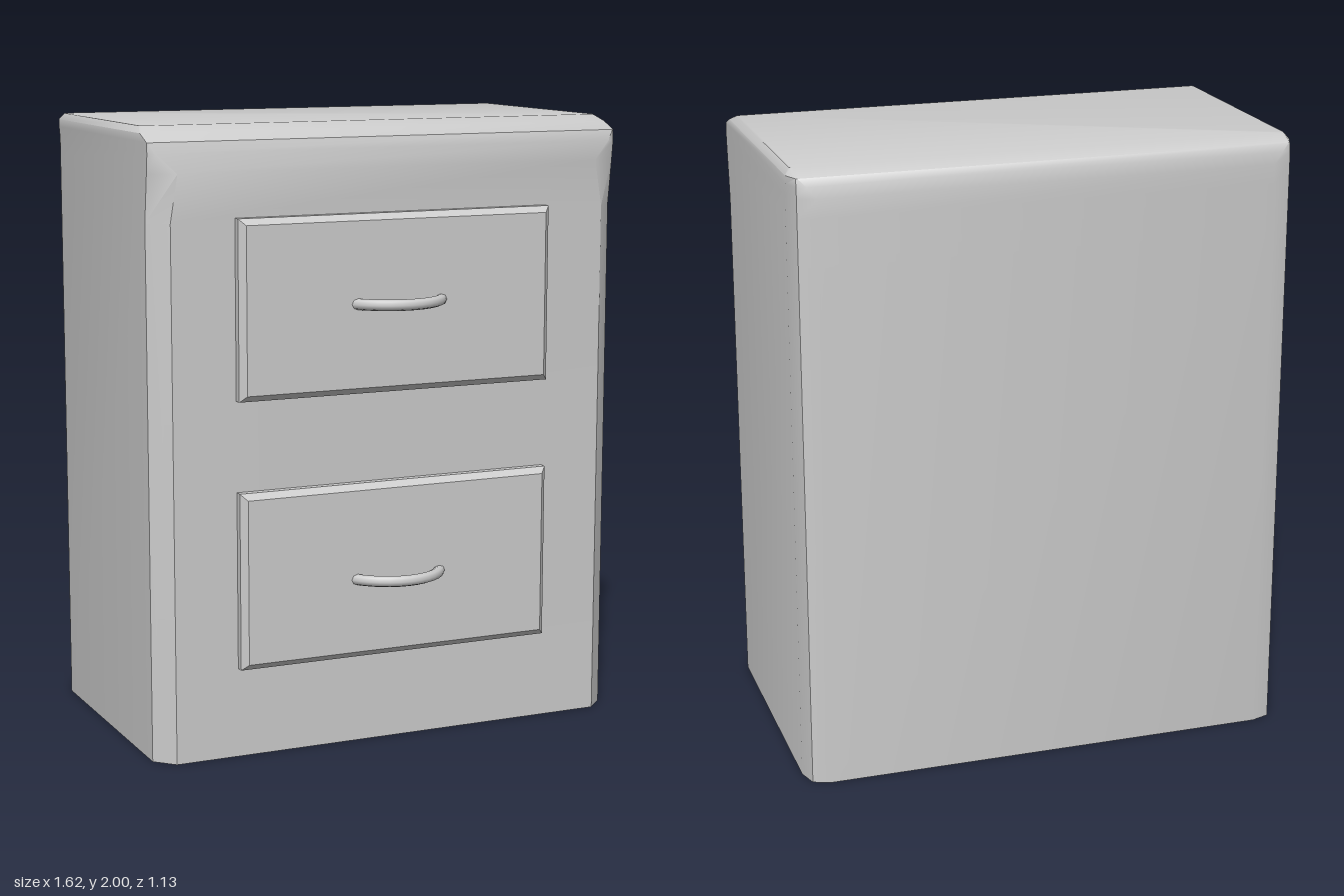
import * as THREE from 'three';
import { toCreasedNormals } from 'three/addons/utils/BufferGeometryUtils.js';

const material = new THREE.MeshStandardMaterial({ color: 0xcccccc });

// Cabinet body: horizontal rings, each given by the five [x, z] points of its +x half, front to back
function bodyGeometry() {
  const levels = [
    [0, [[0.75, 0.42], [0.81, 0.36], [0.81, -0.48], [0.79, -0.545], [0.73, -0.565]]],
    [1.71, [[0.75, 0.42], [0.81, 0.36], [0.81, -0.48], [0.79, -0.545], [0.73, -0.565]]],
    [1.86, [[0.725, 0.42], [0.81, 0.38], [0.81, -0.48], [0.79, -0.545], [0.73, -0.565]]],
    [1.92, [[0.785, 0.4], [0.81, 0.387], [0.81, -0.48], [0.79, -0.545], [0.73, -0.565]]],
    [1.955, [[0.805, 0.39], [0.81, 0.385], [0.81, -0.49], [0.79, -0.545], [0.76, -0.555]]],
    [1.98, [[0.805, 0.33], [0.81, 0.325], [0.81, -0.49], [0.79, -0.54], [0.785, -0.542]]],
    [2, [[0.79, 0.28], [0.795, 0.275], [0.795, -0.475], [0.79, -0.485], [0.785, -0.487]]],
  ];
  const rings = levels.map(([y, half]) => [
    ...half.map(([x, z]) => [x, y, z]),
    ...[...half].reverse().map(([x, z]) => [-x, y, z]),
  ]);
  const n = rings[0].length;
  const positions = [];
  const tri = (a, b, c) => positions.push(...a, ...b, ...c);
  for (let k = 0; k < rings.length - 1; k++) {
    const lo = rings[k], hi = rings[k + 1];
    for (let i = 0; i < n; i++) {
      const j = (i + 1) % n;
      tri(lo[i], lo[j], hi[j]);
      tri(lo[i], hi[j], hi[i]);
    }
  }
  // Top and bottom caps
  const top = rings[rings.length - 1], bottom = rings[0];
  for (let i = 1; i < n - 1; i++) {
    tri(top[0], top[i], top[i + 1]);
    tri(bottom[0], bottom[i + 1], bottom[i]);
  }
  const geometry = new THREE.BufferGeometry();
  geometry.setAttribute('position', new THREE.Float32BufferAttribute(positions, 3));
  return toCreasedNormals(geometry, 0.75);
}

// Drawer front: a box whose front face is inset to make a bevelled rim
function drawerGeometry(width, height, bevel) {
  const w = width / 2 - bevel, h = height / 2 - bevel;
  const shape = new THREE.Shape([
    new THREE.Vector2(-w, -h), new THREE.Vector2(w, -h),
    new THREE.Vector2(w, h), new THREE.Vector2(-w, h),
  ]);
  return new THREE.ExtrudeGeometry(shape, {
    depth: 0.045, bevelEnabled: true, bevelSegments: 1, bevelSize: bevel, bevelThickness: 0.02,
  });
}

// Bowed handle: an arc whose ends sink into the drawer front
function handleGeometry() {
  const arc = THREE.MathUtils.degToRad(124);
  return new THREE.TorusGeometry(0.174, 0.018, 8, 12, arc)
    .rotateZ((Math.PI - arc) / 2)
    .rotateX(Math.PI / 2);
}

export function createModel() {
  const group = new THREE.Group();
  group.name = 'bedsideCabinet';

  const add = (parent, name, geometry, y = 0, z = 0) => {
    const mesh = new THREE.Mesh(geometry, material);
    mesh.name = name;
    mesh.position.set(0, y, z);
    parent.add(mesh);
  };

  add(group, 'cabinetBody', bodyGeometry());

  const drawerFront = drawerGeometry(1.08, 0.57, 0.02);
  const handle = handleGeometry();
  for (const [name, y] of [['upperDrawer', 1.435], ['lowerDrawer', 0.575]]) {
    const drawer = new THREE.Group();
    drawer.name = name;
    drawer.position.y = y;
    add(drawer, 'drawerFront', drawerFront, 0, 0.4);
    add(drawer, 'drawerHandle', handle, name === 'upperDrawer' ? 0.003 : -0.025, 0.369);
    group.add(drawer);
  }
  return group;
}
